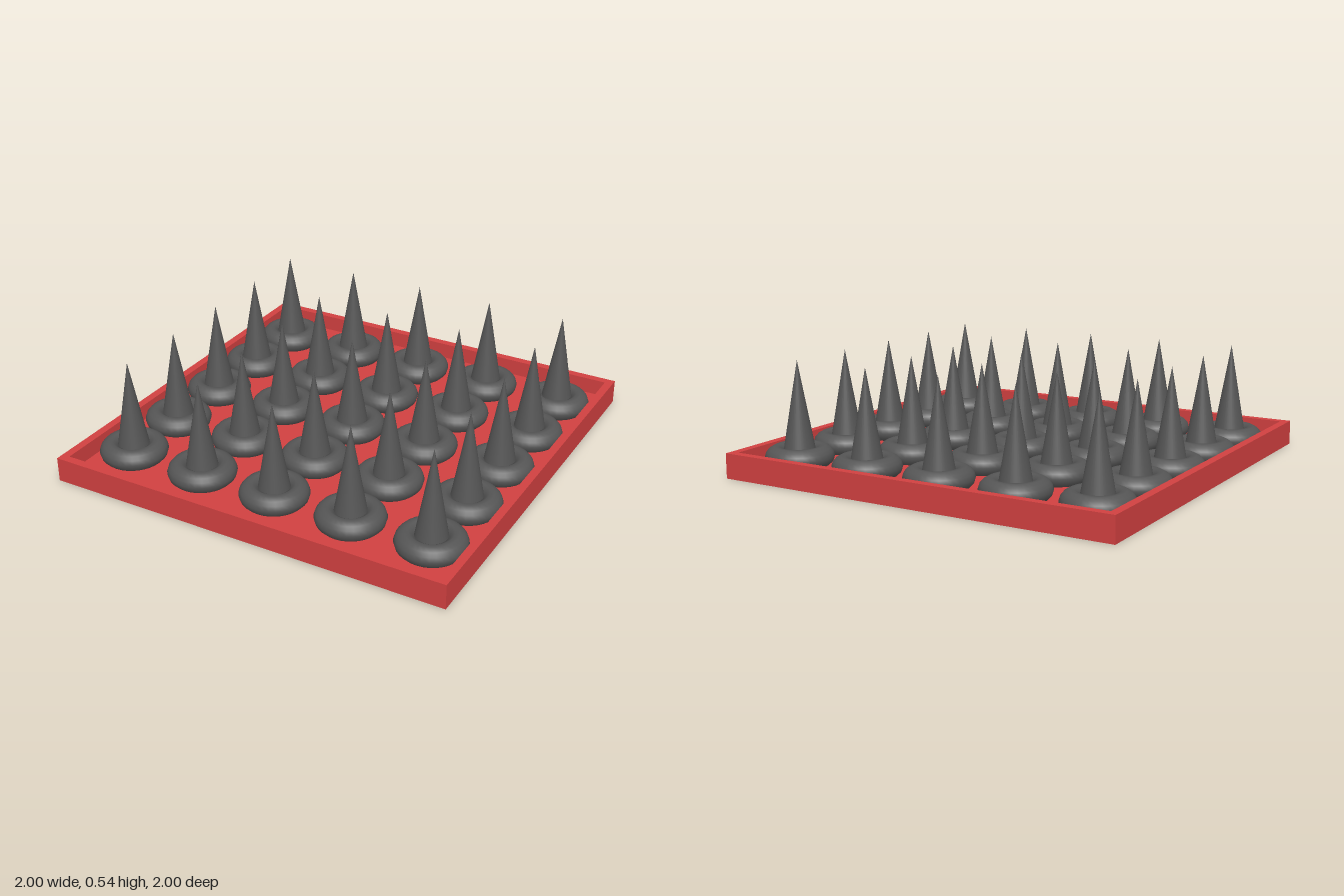
import * as THREE from 'three';

const red = new THREE.MeshStandardMaterial({ color: 0xd04040 });
const dark = new THREE.MeshStandardMaterial({ color: 0x555555 });

const FLOOR = 0.04, RIM = 0.12, WALL = 0.04;

function add(parent, name, geometry, material, x = 0, y = 0, z = 0) {
  const mesh = new THREE.Mesh(geometry, material);
  mesh.name = name;
  mesh.position.set(x, y, z);
  parent.add(mesh);
  return mesh;
}

function square(half, Type) {
  return new Type([[-half, -half], [half, -half], [half, half], [-half, half]]
    .map(([x, y]) => new THREE.Vector2(x, y)));
}

export function createModel() {
  const model = new THREE.Group();
  model.name = 'spikeTrap';

  // Shallow open tray: square frame with a recessed floor
  const tray = new THREE.Group();
  tray.name = 'tray';
  model.add(tray);
  const outline = square(1, THREE.Shape);
  outline.holes.push(square(1 - WALL, THREE.Path));
  const frame = new THREE.ExtrudeGeometry(outline, { depth: RIM, bevelEnabled: false });
  frame.rotateX(-Math.PI / 2);
  add(tray, 'trayFrame', frame, red);
  const inner = 2 * (1 - WALL);
  add(tray, 'trayFloor', new THREE.BoxGeometry(inner, FLOOR, inner), red, 0, FLOOR / 2, 0);

  // Rounded collar around each spike's foot
  const collar = new THREE.LatheGeometry([
    [0.14, FLOOR], [0.156, 0.056], [0.163, 0.08], [0.156, 0.102], [0.142, 0.118],
    [0.12, 0.13], [0.099, 0.13], [0.075, 0.114], [0.066, 0.08],
  ].map(([r, y]) => new THREE.Vector2(r, y)), 32);

  // Spike standing on the tray floor
  const height = 0.535 - FLOOR;
  const spike = new THREE.ConeGeometry(0.087, height, 32, 1);

  // Five by five grid, set slightly towards the back
  for (let row = -2; row <= 2; row++) {
    for (let col = -2; col <= 2; col++) {
      const unit = new THREE.Group();
      unit.name = 'spikeUnit';
      unit.position.set(col * 0.393, 0, row * 0.358 - 0.016);
      add(unit, 'collar', collar, dark);
      add(unit, 'spike', spike, dark, 0, FLOOR + height / 2, 0);
      model.add(unit);
    }
  }
  return model;
}
